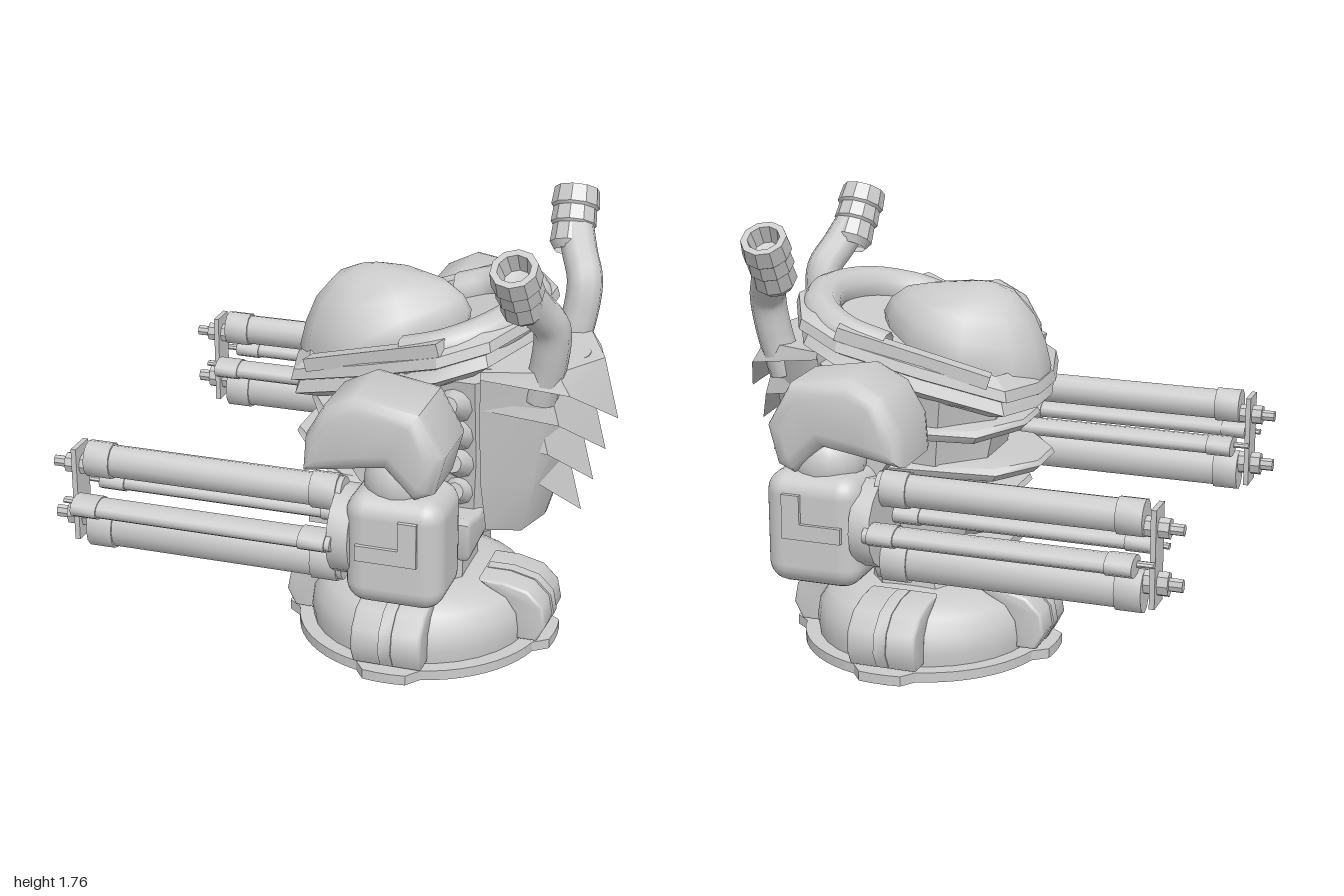
import * as THREE from 'three';
import { toCreasedNormals } from 'three/addons/utils/BufferGeometryUtils.js';
import { RoundedBoxGeometry } from 'three/addons/geometries/RoundedBoxGeometry.js';

const mat = new THREE.MeshStandardMaterial({ color: 0xcccccc, side: THREE.DoubleSide });

function add(parent, name, geo, x = 0, y = 0, z = 0) {
  const m = new THREE.Mesh(geo, mat);
  m.name = name;
  m.position.set(x, y, z);
  parent.add(m);
  return m;
}

// Mirror a half outline [x, z] (nose to back) across z = 0
function ring(half, yOf) {
  const back = half.filter(p => p[1] > 0).reverse().map(([x, z]) => [x, -z]);
  return half.concat(back).map(([x, z]) => [x, typeof yOf === 'function' ? yOf(x, z) : yOf, z]);
}

// Skin a stack of equal-length rings, bottom to top, and close both ends
function loft(rings, crease = 0.6) {
  const n = rings[0].length, pos = rings.flat(2), idx = [];
  for (let i = 0; i < rings.length - 1; i++) for (let j = 0; j < n; j++) {
    const a = i * n + j, b = i * n + (j + 1) % n;
    idx.push(a, b, b + n, a, b + n, a + n);
  }
  [0, rings.length - 1].forEach((r, end) => {
    const c = pos.length / 3;
    for (let k = 0; k < 3; k++) pos.push(rings[r].reduce((s, p) => s + p[k], 0) / n);
    for (let j = 0; j < n; j++) {
      const a = r * n + j, b = r * n + (j + 1) % n;
      end ? idx.push(a, b, c) : idx.push(b, a, c);
    }
  });
  const g = new THREE.BufferGeometry();
  g.setAttribute('position', new THREE.Float32BufferAttribute(pos, 3));
  g.setIndex(idx);
  return toCreasedNormals(g, crease);
}

// Extrude an outline, centred on its depth, with a bevel inside the total depth
function slab(pts, depth, bevel = 0) {
  const g = new THREE.ExtrudeGeometry(new THREE.Shape(pts.map(p => new THREE.Vector2(...p))), {
    depth: depth - 2 * bevel, bevelEnabled: bevel > 0, bevelSize: bevel, bevelOffset: -bevel,
    bevelThickness: bevel, bevelSegments: 3 });
  g.translate(0, 0, -depth / 2 + bevel);
  return toCreasedNormals(g, 0.8);
}

const rodX = (r, len, sides = 12) =>
  toCreasedNormals(new THREE.CylinderGeometry(r, r, len, sides).rotateZ(Math.PI / 2), 0.7);

const tube = (pts, r, seg = 24, sides = 10) => new THREE.TubeGeometry(
  new THREE.CatmullRomCurve3(pts.map(p => new THREE.Vector3(...p))), seg, r, sides);

function buildBase() {
  const g = new THREE.Group();
  g.name = 'base';
  g.position.x = 0.24;
  // Flat hollow rim with four tabs
  const rim = new THREE.Shape();
  for (let i = 0; i < 60; i++) {
    const a = (i - 1.5) / 60 * Math.PI * 2, r = i % 15 < 4 ? 0.547 : 0.5;
    rim[i ? 'lineTo' : 'moveTo'](r * Math.cos(a), r * Math.sin(a));
  }
  rim.holes.push(new THREE.Path().absarc(0, 0, 0.44, 0, Math.PI * 2, true));
  add(g, 'rim', new THREE.ExtrudeGeometry(rim, { depth: 0.04, bevelEnabled: false }).rotateX(-Math.PI / 2));
  const dome = [[0.44, 0.02], [0.45, 0.09], [0.44, 0.16], [0.4, 0.225], [0.32, 0.265], [0.2, 0.28], [0, 0.28]];
  add(g, 'dome', new THREE.LatheGeometry(dome.map(p => new THREE.Vector2(...p)), 32));
  // Four curved clamps hugging the dome, each split by a raised ridge
  const clamp = [[0.42, 0.05], [0.5, 0.05], [0.535, 0.12], [0.52, 0.2], [0.46, 0.26], [0.36, 0.285],
    [0.26, 0.285], [0.3, 0.255], [0.37, 0.215], [0.41, 0.16]];
  for (let i = 0; i < 4; i++) {
    add(g, 'clamp', slab(clamp, 0.28, 0.012)).rotation.y = i * Math.PI / 2;
    add(g, 'clampRidge', slab(clamp.map(([x, y]) => [x + 0.007, y + 0.003]), 0.05)).rotation.y = i * Math.PI / 2;
  }
  return g;
}

function buildBody() {
  const g = new THREE.Group();
  g.name = 'body';
  // Pedestal and waist
  add(g, 'pedestal', loft([
    ring([[0.06, 0.1], [0.13, 0.2], [0.36, 0.2], [0.43, 0.12]], 0.26),
    ring([[0.15, 0.09], [0.2, 0.17], [0.38, 0.17], [0.43, 0.1]], 0.49)]));
  add(g, 'waistPlate', new THREE.BoxGeometry(0.68, 0.04, 0.44), 0.17, 0.495, 0);
  const hip = [[-0.42, 0.505], [0, 0.54], [0.42, 0.505], [0.44, 0.53], [0.44, 0.66], [0.4, 0.67],
    [0.28, 0.64], [0, 0.68], [-0.28, 0.64], [-0.4, 0.67], [-0.44, 0.66], [-0.44, 0.53]];
  add(g, 'hips', slab(hip, 0.54, 0.02).rotateY(Math.PI / 2), 0.27, 0, 0);
  // Torso core with stacked front plates and side ribs
  add(g, 'torso', loft([
    ring([[0, 0.14], [0.12, 0.24], [0.5, 0.24], [0.56, 0.15]], 0.52),
    ring([[-0.06, 0.12], [0.1, 0.28], [0.52, 0.28], [0.6, 0.2]], 0.85),
    ring([[-0.14, 0.14], [0.05, 0.35], [0.53, 0.36], [0.62, 0.25]], 1.2)]));
  [[0.53, -0.17, 0.2], [0.65, -0.17, 0.22], [0.77, -0.26, 0.25], [0.93, -0.2, 0.3]].forEach(([y, x, w]) => {
    add(g, 'frontPlate', loft([
      ring([[x + 0.03, 0.08], [x + 0.14, w], [0.3, w + 0.05], [0.4, w]], y),
      ring([[x, 0.09], [x + 0.12, w + 0.02], [0.3, w + 0.06], [0.4, w]], y + 0.03),
      ring([[x + 0.01, 0.09], [x + 0.14, w], [0.3, w + 0.03], [0.4, w - 0.02]], y + 0.05)]));
  });
  for (const s of [1, -1]) for (let i = 0; i < 4; i++) {
    const rib = new THREE.CylinderGeometry(0.035, 0.085, 0.16, 10).rotateX(s * Math.PI / 2.4);
    add(g, 'rib', rib, 0.45, 0.72 + i * 0.13, s * (0.25 + i * 0.035));
  }
  const axle = new THREE.CylinderGeometry(0.14, 0.14, 1.3, 16).rotateX(Math.PI / 2);
  add(g, 'shoulderAxle', toCreasedNormals(axle, 0.7), 0.28, 0.99, 0);
  return g;
}

function buildHead() {
  const g = new THREE.Group();
  g.name = 'head';
  // Sloping layered shell with a sunken deck, scaled from one outline
  const outline = [[-0.26, 0.1], [-0.2, 0.32], [0.1, 0.42], [0.42, 0.49], [0.6, 0.41], [0.72, 0.16]];
  const layer = (s, y) => ring(outline.map(([x, z]) => [0.22 + (x - 0.22) * s, z * s]), x => y + 0.3 * x);
  add(g, 'jaw', loft([layer(0.78, 1.06), layer(0.97, 1.11), layer(0.93, 1.16)]));
  add(g, 'shell', loft([layer(0.9, 1.15), layer(1, 1.17), layer(0.98, 1.21), layer(0.86, 1.24),
    layer(0.74, 1.19)], 0.4));
  // Rounded cap with a pointed back
  const capHalf = [[-0.25, 0.07], [-0.18, 0.19], [0, 0.28], [0.22, 0.23], [0.36, 0.1], [0.41, 0.02]];
  const capRing = (s, lift, slope) =>
    ring(capHalf.map(([x, z]) => [0.02 + (x - 0.02) * s, z * s]), x => 1.21 + lift + slope * x);
  add(g, 'cap', loft([capRing(0.97, -0.06, 0.3), capRing(1, 0.02, 0.28), capRing(0.92, 0.1, 0.24),
    capRing(0.77, 0.18, 0.17), capRing(0.52, 0.24, 0.07), capRing(0.24, 0.268, 0), capRing(0.03, 0.28, 0)], 1));
  // Padded collar and rails leading up to it
  const arc = [[0.27, 0.37], [0.42, 0.37], [0.57, 0.25], [0.645, 0], [0.57, -0.25], [0.42, -0.37], [0.27, -0.37]];
  add(g, 'collar', tube(arc.map(([x, z]) => [x, 1.2 + 0.3 * x, z]), 0.078, 32));
  for (const s of [1, -1]) {
    const rail = add(g, 'rail', new THREE.BoxGeometry(0.6, 0.05, 0.07), 0.15, 1.275, s * 0.38);
    rail.rotation.set(0, -s * 0.24, 0.3);
  }
  return g;
}

function buildBackpack() {
  const g = new THREE.Group();
  g.name = 'backpack';
  add(g, 'packBody', loft([
    ring([[0.55, 0.23], [0.68, 0.19], [0.73, 0.02]], 0.55),
    ring([[0.54, 0.28], [0.73, 0.23], [0.79, 0.02]], 0.75),
    ring([[0.54, 0.32], [0.76, 0.25], [0.84, 0.02]], 1),
    ring([[0.55, 0.36], [0.8, 0.26], [0.88, 0.02]], 1.23)], 1));
  // Overlapping chevron fins, flush at the sides and drooping to a point at the back
  for (let k = 0; k < 4; k++) {
    const w = 0.365 - 0.033 * k, tip = 0.997 - 0.043 * k, y = 0.98 - 0.133 * k;
    add(g, 'fin', loft([
      ring([[0.55, w], [tip - 0.13, w * 0.74], [tip, 0]], (x, z) => y + 0.24 * Math.abs(z) / w),
      ring([[0.55, w - 0.005], [tip - 0.18, w * 0.72], [tip - 0.06, 0]],
        (x, z) => y + 0.24 + (k ? 0.17 : 0.03) * Math.abs(z) / w)], 0.5));
  }
  // Bent exhaust stacks with flared, hollow mouths
  for (const s of [1, -1]) {
    add(g, 'exhaustPipe', tube([[0.74, 1.12, s * 0.22], [0.78, 1.28, s * 0.24], [0.79, 1.42, s * 0.27],
      [0.75, 1.51, s * 0.34], [0.705, 1.62, s * 0.43]], 0.07));
    const prof = [[0.065, -0.12], [0.085, -0.09], [0.08, -0.02], [0.09, -0.01], [0.085, 0.05], [0.095, 0.06],
      [0.088, 0.13], [0.062, 0.13], [0.05, 0.06], [0, 0.05]];
    const mouth = new THREE.LatheGeometry(prof.map(p => new THREE.Vector2(...p)), 10);
    const m = add(g, 'exhaustMouth', toCreasedNormals(mouth, 0.6), 0.705, 1.6, s * 0.42);
    m.quaternion.setFromUnitVectors(new THREE.Vector3(0, 1, 0), new THREE.Vector3(-0.05, 0.84, s * 0.55).normalize());
  }
  return g;
}

function buildArm(s) {
  const g = new THREE.Group(), zc = s * 0.725;
  g.name = s > 0 ? 'leftArm' : 'rightArm';
  // Arched shoulder guard over a ball joint
  const arch = [[0.02, 0.98], [0.2, 1.01], [0.33, 1.03], [0.44, 0.92], [0.51, 0.95], [0.55, 1.1],
    [0.46, 1.26], [0.22, 1.3], [0.1, 1.24], [0.03, 1.12]];
  add(g, 'shoulderGuard', slab(arch, 0.345, 0.06), 0, 0, s * 0.685);
  add(g, 'shoulderJoint', new THREE.SphereGeometry(0.14, 16, 12), 0.36, 0.95, s * 0.7);
  // Gun housing with a raised bracket on its outer face
  add(g, 'gunHousing', new RoundedBoxGeometry(0.37, 0.43, 0.31, 3, 0.08), 0.37, 0.715, s * 0.725);
  const bracket = [[0.24, 0.69], [0.47, 0.69], [0.47, 0.86], [0.4, 0.86], [0.4, 0.75], [0.24, 0.75]];
  add(g, 'bracket', slab(bracket, 0.03), 0, 0, s * 0.88);
  add(g, 'barrelMount', rodX(0.165, 0.08, 16), 0.17, 0.735, zc);
  // Four barrels in a diamond: large above and below, flatter at the sides
  for (const [dy, dz, flat] of [[0.135, 0, 1.1], [-0.14, 0, 1.3], [0, 0.13, 0.62], [0, -0.13, 0.62]]) {
    const b = new THREE.Group();
    b.name = 'barrel';
    b.position.set(0, 0.735 + dy, zc + dz);
    b.scale.y = flat;
    add(b, 'barrelTube', rodX(0.057, 0.98), -0.34);
    add(b, 'muzzleCollar', rodX(0.064, 0.1), -0.81);
    add(b, 'rearCollar', rodX(0.064, 0.1), 0.08);
    if (dz) add(b, 'muzzleTip', rodX(0.018, 0.08, 8), -0.88, 0, -dz * 0.2);
    else {
      add(b, 'muzzleNeck', rodX(0.036, 0.1, 8), -0.9, -dy * 0.2, 0);
      add(b, 'muzzleTip', rodX(0.02, 0.06, 8), -0.97, -dy * 0.2, 0);
    }
    g.add(b);
  }
  add(g, 'muzzleBrace', new THREE.BoxGeometry(0.02, 0.37, 0.11), -0.9, 0.735, zc);
  return g;
}

export function createModel() {
  const model = new THREE.Group();
  model.name = 'turret';
  model.add(buildBase(), buildBody(), buildHead(), buildBackpack(), buildArm(1), buildArm(-1));
  return model;
}
